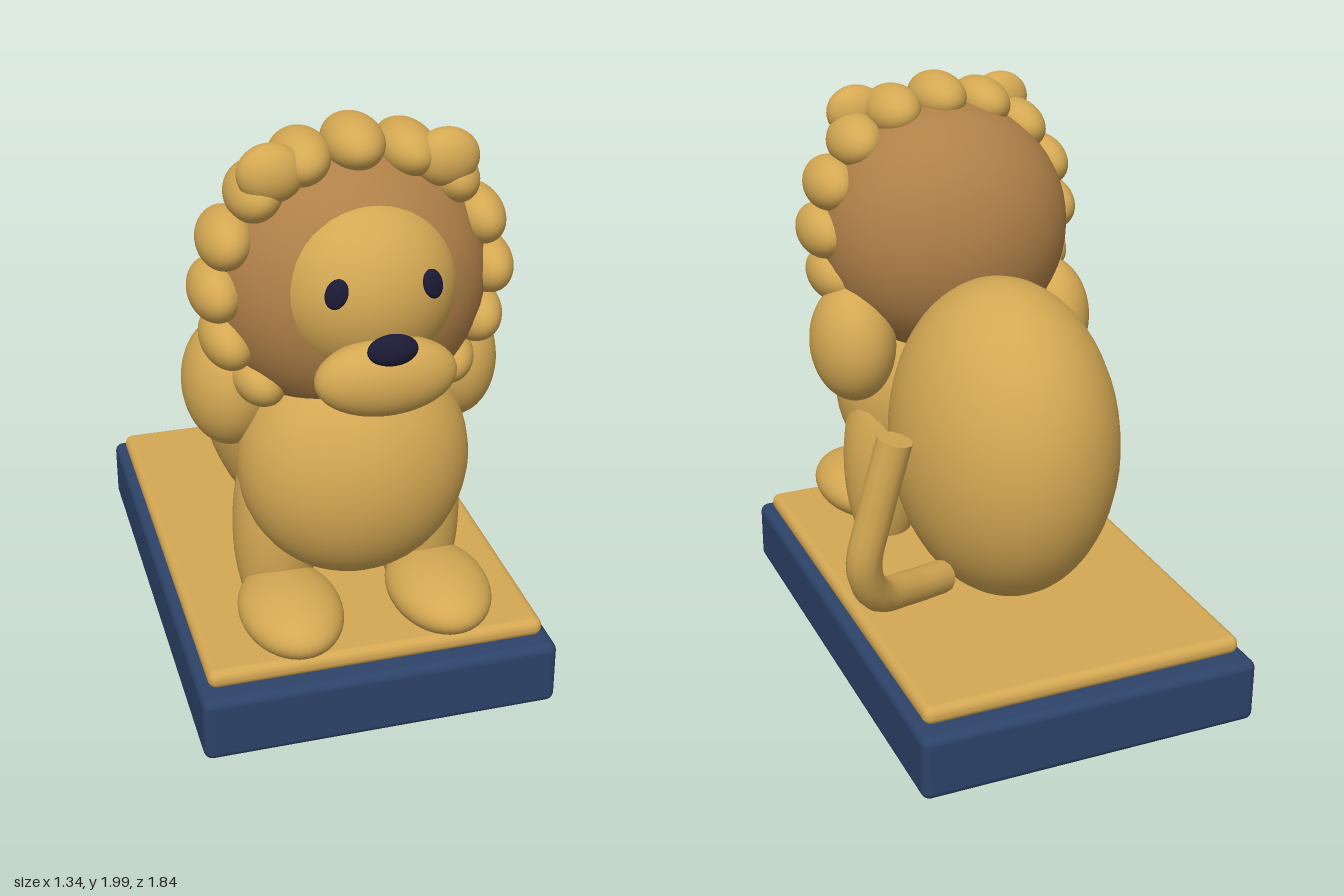
import * as THREE from 'three';
import { RoundedBoxGeometry } from 'three/addons/geometries/RoundedBoxGeometry.js';

const material = (name, color) => {
  const m = new THREE.MeshStandardMaterial({ color });
  m.name = name;
  return m;
};

export function createModel() {
  const gold = material('gold fur', 0xd4a853);
  const brown = material('brown mane', 0xb08048);
  const navy = material('navy base', 0x2d4369);
  const dark = material('dark features', 0x1c1b36);

  const model = new THREE.Group();
  const lion = new THREE.Group();
  lion.name = 'lion';
  lion.position.x = -0.07; // the lion sits on the base's centre line
  model.add(lion);

  const ball = new THREE.SphereGeometry(1, 40, 28);
  const ellipsoid = (name, mat, pos, radii, rot = [0, 0, 0]) => {
    const mesh = new THREE.Mesh(ball, mat);
    mesh.name = name;
    mesh.position.set(...pos);
    mesh.scale.set(...radii);
    mesh.rotation.set(...rot);
    lion.add(mesh);
    return mesh;
  };
  // Mirrored pair across the lion's centre plane
  const pair = (name, mat, [x, y, z], radii, [rx, ry, rz] = [0, 0, 0]) => {
    ellipsoid(name + 'Left', mat, [x, y, z], radii, [rx, ry, rz]);
    ellipsoid(name + 'Right', mat, [-x, y, z], radii, [rx, -ry, -rz]);
  };
  const slab = (name, mat, size, radius, y, z) => {
    const mesh = new THREE.Mesh(new RoundedBoxGeometry(...size, 4, radius), mat);
    mesh.name = name;
    mesh.position.set(0, y, z);
    lion.add(mesh);
  };

  // Base
  slab('base', navy, [1.205, 0.23, 1.78], 0.03, 0.115, -0.03);
  slab('basePlate', gold, [1.14, 0.065, 1.655], 0.03, 0.2625, -0.0275);

  // Body
  ellipsoid('hindBody', gold, [0, 0.84, -0.155], [0.385, 0.57, 0.48]);
  ellipsoid('chest', gold, [0, 0.83, 0.465], [0.385, 0.4, 0.315]);
  pair('shoulder', gold, [0.38, 1.085, 0.31], [0.15, 0.215, 0.188]);
  pair('frontLeg', gold, [0.25, 0.56, 0.39], [0.142, 0.39, 0.152]);
  pair('paw', gold, [0.255, 0.372, 0.615], [0.17, 0.104, 0.248]);

  // Head
  ellipsoid('head', brown, [0, 1.45, 0.378], [0.45, 0.45, 0.382]);
  ellipsoid('face', gold, [0, 1.5, 0.57], [0.29, 0.285, 0.26]);
  ellipsoid('muzzle', gold, [0, 1.295, 0.815], [0.222, 0.125, 0.104]);
  ellipsoid('nose', dark, [0, 1.41, 0.88], [0.078, 0.05, 0.037]);
  pair('eye', dark, [0.148, 1.57, 0.795], [0.034, 0.048, 0.018], [-0.15, 0.4, 0.35]);
  pair('ear', gold, [0.275, 1.86, 0.52], [0.105, 0.093, 0.075]);

  // Ring of mane tufts, open under the chin
  for (let i = -6; i <= 6; i++) {
    const a = i * Math.PI / 8;
    ellipsoid('maneTuft', gold,
      [0.44 * Math.sin(a), 1.47 + 0.44 * Math.cos(a), 0.44],
      [0.096, 0.084, 0.15], [0, 0, -a]);
  }

  // Tail
  const path = new THREE.CatmullRomCurve3([
    [0.24, 0.46, -0.35], [0.41, 0.51, -0.46], [0.55, 0.58, -0.57],
    [0.612, 0.72, -0.63], [0.575, 0.92, -0.65], [0.515, 1.155, -0.665],
  ].map((p) => new THREE.Vector3(...p)));
  const radius = 0.057;
  const sides = 12;
  const tail = new THREE.Mesh(new THREE.TubeGeometry(path, 40, radius, sides), gold);
  tail.name = 'tail';
  model.add(tail);
  for (const [t, sign] of [[0, -1], [1, 1]]) {
    const cap = new THREE.Mesh(new THREE.CircleGeometry(radius, sides), gold);
    cap.name = 'tailEnd';
    cap.position.copy(path.getPointAt(t));
    cap.quaternion.setFromUnitVectors(
      new THREE.Vector3(0, 0, 1), path.getTangentAt(t).multiplyScalar(sign));
    model.add(cap);
  }

  return model;
}
